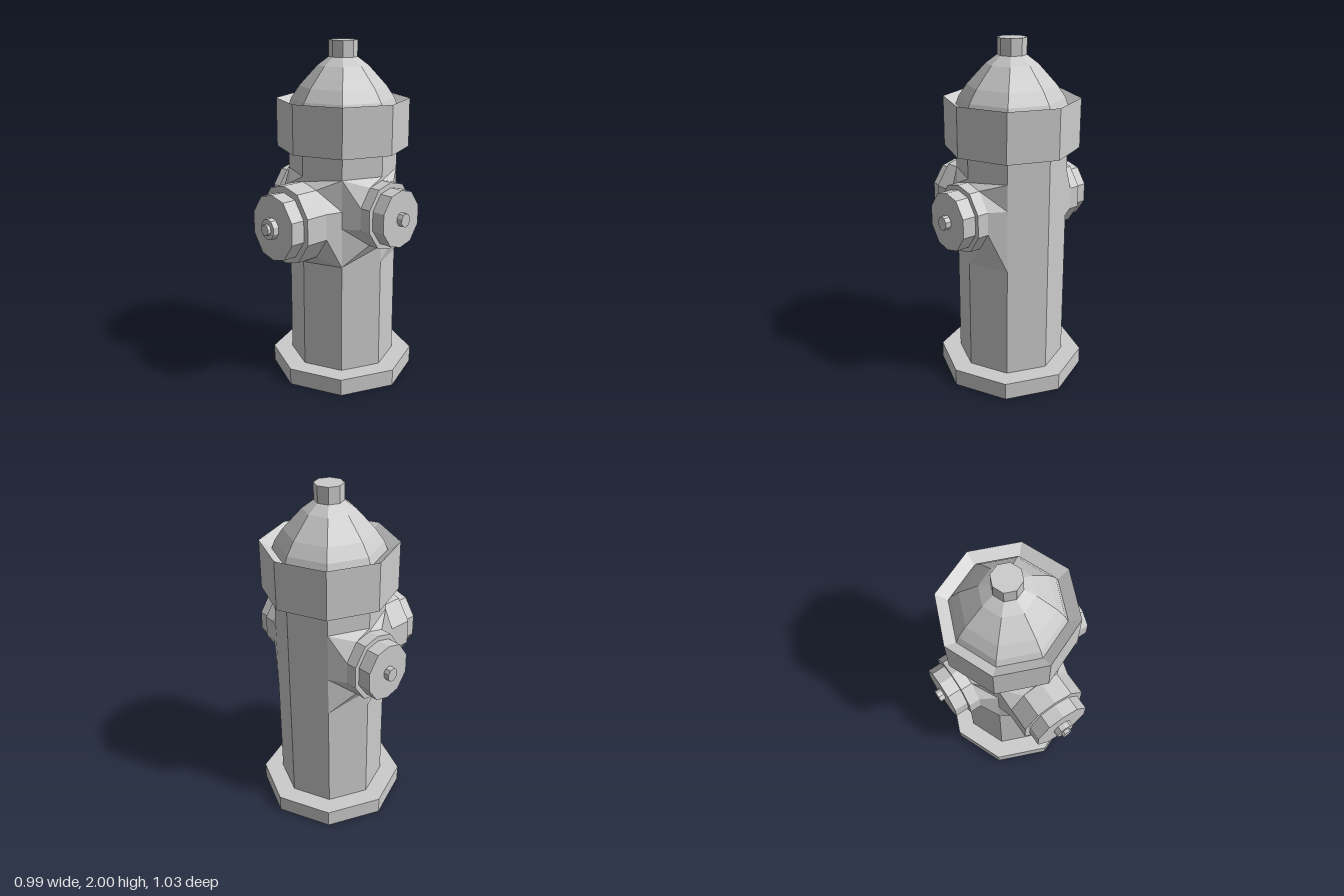
import * as THREE from 'three';

const mat = new THREE.MeshStandardMaterial({ color: 0xcccccc, flatShading: true, side: THREE.DoubleSide });

// Ten-sided outline shared by all outlets, slightly narrower than tall
const half = [[0, 1], [0.5, 0.87], [0.87, 0.33], [0.87, -0.33], [0.5, -0.87]];
const outline = [...half, ...half.map(([x, y]) => [-x, -y])];

function add(parent, geometry, name) {
  const mesh = new THREE.Mesh(geometry, mat);
  mesh.name = name;
  parent.add(mesh);
  return mesh;
}

// Eight-sided turned part from [radius, height] pairs, bottom to top
function turned(parent, profile, name) {
  return add(parent, new THREE.LatheGeometry(profile.map(p => new THREE.Vector2(...p)), 8), name);
}

// Ten-sided disc along +z between two distances from the barrel axis
function disc(parent, r, from, to, y, name) {
  const shape = new THREE.Shape(outline.map(([x, v]) => new THREE.Vector2(x * r, v * r)));
  const mesh = add(parent, new THREE.ExtrudeGeometry(shape, { depth: to - from, bevelEnabled: false }), name);
  mesh.position.set(0, y, from);
}

// Faceted flare blending the barrel faces into the outlet ring
function flare(parent, r, y) {
  const R = 0.315, c = R * Math.SQRT1_2, top = 1.265, bottom = 0.755;
  const pos = [], index = [], n = outline.length;
  outline.forEach(([x, v]) => {
    const edge = Math.abs(v) > 0.5 ? (v > 0 ? top : bottom) : y + v * r;
    pos.push(Math.sign(x) * c, edge, x === 0 ? R : c); // on the barrel
    pos.push(x * r, y + v * r, R);                     // on the ring
  });
  for (let i = 0; i < n; i++) {
    const a = 2 * i, b = 2 * ((i + 1) % n);
    index.push(a, a + 1, b, b, a + 1, b + 1);
  }
  const g = new THREE.BufferGeometry();
  g.setAttribute('position', new THREE.Float32BufferAttribute(pos, 3));
  g.setIndex(index);
  g.computeVertexNormals();
  add(parent, g, 'outletFlare');
}

// Outlet: flare, neck and then stacked discs as [name, radius, end]
function outlet(parent, name, y, turn, steps) {
  const group = new THREE.Group();
  group.name = name;
  group.rotation.y = turn;
  flare(group, steps[0][1], y);
  let from = 0.3;
  for (const [part, r, to] of steps) {
    disc(group, r, from, to, y, part);
    from = to;
  }
  parent.add(group);
}

export function createModel() {
  const model = new THREE.Group();
  model.name = 'hydrant';
  const body = new THREE.Group();
  body.name = 'body';
  body.position.z = -0.083;
  model.add(body);

  // Barrel stack
  turned(body, [[0, 0], [0.43, 0], [0.43, 0.1], [0.3, 0.1]], 'baseFlange');
  turned(body, [[0.315, 0.1], [0.315, 1.4]], 'barrel');
  turned(body, [[0.3, 1.395], [0.383, 1.395], [0.383, 1.675], [0.315, 1.63]], 'collar');
  turned(body, [[0.317, 1.62], [0.297, 1.675], [0.25, 1.745], [0.2, 1.8], [0.145, 1.86], [0.075, 1.912]], 'dome');
  turned(body, [[0.082, 1.9], [0.082, 2], [0, 2]], 'topNut');

  // Large front outlet
  outlet(body, 'frontOutlet', 1.01, 0, [
    ['neck', 0.225, 0.455], ['cap', 0.188, 0.54], ['nut', 0.06, 0.575], ['nutTip', 0.032, 0.595],
  ]);

  // Smaller outlets on both sides
  for (const s of [1, -1]) {
    outlet(body, s > 0 ? 'leftOutlet' : 'rightOutlet', 1.05, s * Math.PI / 2, [
      ['neck', 0.194, 0.382], ['cap', 0.165, 0.463], ['nut', 0.039, 0.497],
    ]);
  }
  return model;
}
